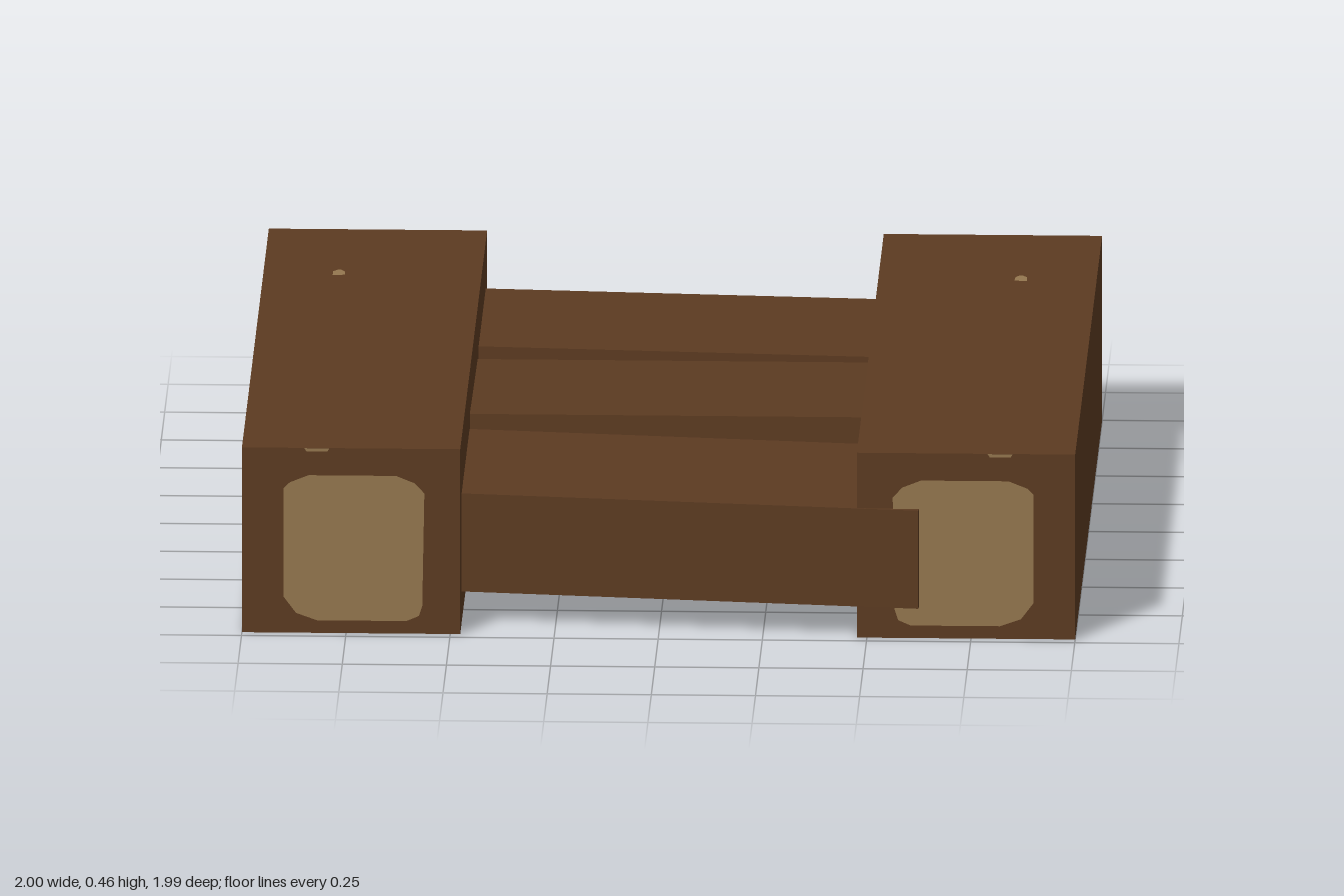
import * as THREE from 'three';

export function createModel() {
  const group = new THREE.Group();
  const wood = new THREE.MeshStandardMaterial({ color: 0x5c3b21 });
  wood.name = 'dark wood';
  const cut = new THREE.MeshStandardMaterial({ color: 0x94774f });
  cut.name = 'cut wood';

  const add = (name, geometry, material, x, y, z) => {
    const mesh = new THREE.Mesh(geometry, material);
    mesh.name = name;
    mesh.position.set(x, y, z);
    group.add(mesh);
    return mesh;
  };

  // Outline of the pale end grain, mirrored for each beam
  const grain = [[0.9, 0.36], [0.885, 0.375], [0.84, 0.393], [0.63, 0.393], [0.585, 0.375], [0.562, 0.35],
    [0.567, 0.07], [0.575, 0.045], [0.605, 0.032], [0.82, 0.032], [0.87, 0.05], [0.9, 0.09]];
  const plate = (points, sx) =>
    new THREE.ShapeGeometry(new THREE.Shape(points.map(([x, y]) => new THREE.Vector2(x * sx, y))));
  const knot = [[-0.015, -0.02], [0.015, -0.024], [0.015, 0.01], [0.005, 0.024], [-0.005, 0.024], [-0.013, 0.01]];
  const chip = [[0.795, 0.452], [0.845, 0.452], [0.85, 0.46], [0.79, 0.46]];

  // Two long beams with end grain and a small knot
  for (const [side, s] of [['left', 1], ['right', -1]]) {
    add(side + 'Beam', new THREE.BoxGeometry(0.524, 0.46, 1.967), wood, s * 0.738, 0.23, -0.0135);
    add(side + 'FrontEndGrain', plate(grain, s), cut, 0, 0, 0.973);
    add(side + 'FrontChip', plate(chip, s), cut, 0, 0, 0.973);
    add(side + 'BackEndGrain', plate(grain, -s), cut, 0, 0, -0.999).rotation.y = Math.PI;
    add(side + 'Knot', plate(knot, s), cut, s * 0.818, 0.463, -0.598).rotation.x = -Math.PI / 2;
  }

  // Three uneven cross planks: name, depth, x, y, z, tilt, turn
  const planks = [
    ['frontPlank', 0.576, 0.02, 0.2, 0.633, 0, -0.109],
    ['middlePlank', 0.577, 0, 0.221, -0.0125, -0.04, 0],
    ['backPlank', 0.519, 0, 0.222, -0.602, 0, -0.068],
  ];
  for (const [name, depth, x, y, z, tilt, turn] of planks) {
    const plank = add(name, new THREE.BoxGeometry(1.277, 0.244, depth), wood, x, y, z);
    plank.rotation.set(tilt, turn, 0);
  }
  return group;
}
